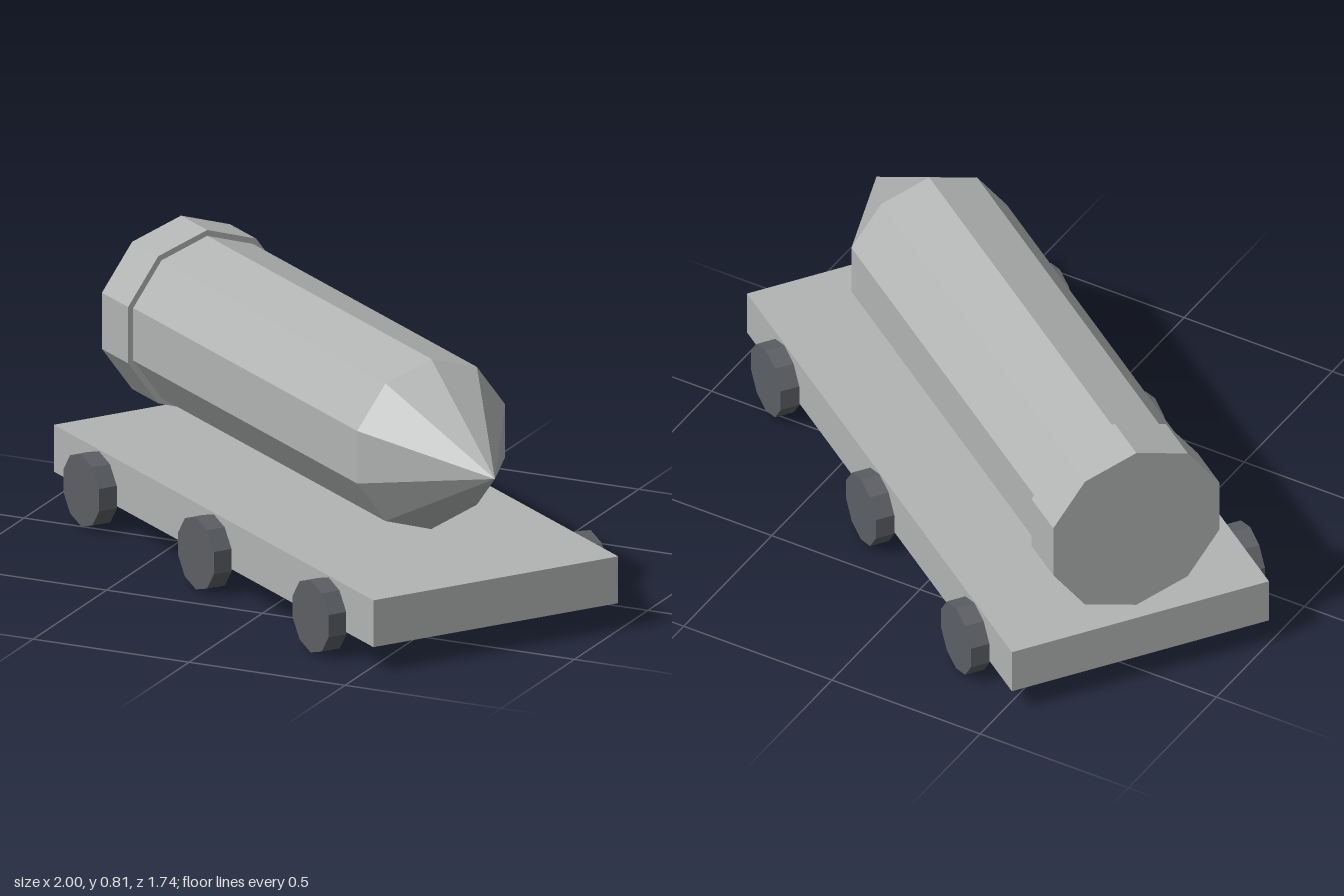
import * as THREE from 'three';

function material(name, color) {
  const m = new THREE.MeshStandardMaterial({ color, flatShading: true });
  m.name = name;
  return m;
}

export function createModel() {
  const metal = material('light grey metal', 0xb2b4b4);
  const rubber = material('dark grey rubber', 0x5c5f64);

  const model = new THREE.Group();
  model.name = 'rocketCart';

  // Everything is laid out along local x, then the cart is turned
  const cart = new THREE.Group();
  cart.name = 'cart';
  cart.rotation.y = THREE.MathUtils.degToRad(-35);
  model.add(cart);

  const add = (name, geometry, mat, x, y, z) => {
    const mesh = new THREE.Mesh(geometry, mat);
    mesh.name = name;
    mesh.position.set(x, y, z);
    cart.add(mesh);
    return mesh;
  };

  // Flat bed
  add('platform', new THREE.BoxGeometry(1.867, 0.143, 0.818), metal, 0, 0.1535, 0);

  // Three ten-sided wheels on each side
  const wheelGeometry = new THREE.CylinderGeometry(0.11, 0.11, 0.06, 10).rotateX(Math.PI / 2);
  for (const side of [-1, 1]) {
    for (const x of [-0.67, 0, 0.67]) {
      add('wheel', wheelGeometry, rubber, x, 0.11, side * 0.438);
    }
  }

  // Ten-sided sections along x, with a corner pointing straight up
  const section = (name, rFront, rBack, x0, x1, open) => {
    const g = new THREE.CylinderGeometry(rFront, rBack, x1 - x0, 10, 1, open, Math.PI / 2);
    g.rotateZ(-Math.PI / 2);
    add(name, g, metal, (x0 + x1) / 2, 0.527, 0);
  };
  section('rocketBody', 0.26, 0.26, -0.76, 0.556, true);
  section('noseCone', 0, 0.26, 0.556, 0.928, true);
  section('tailCollar', 0.278, 0.278, -0.905, -0.752, false);

  return model;
}
